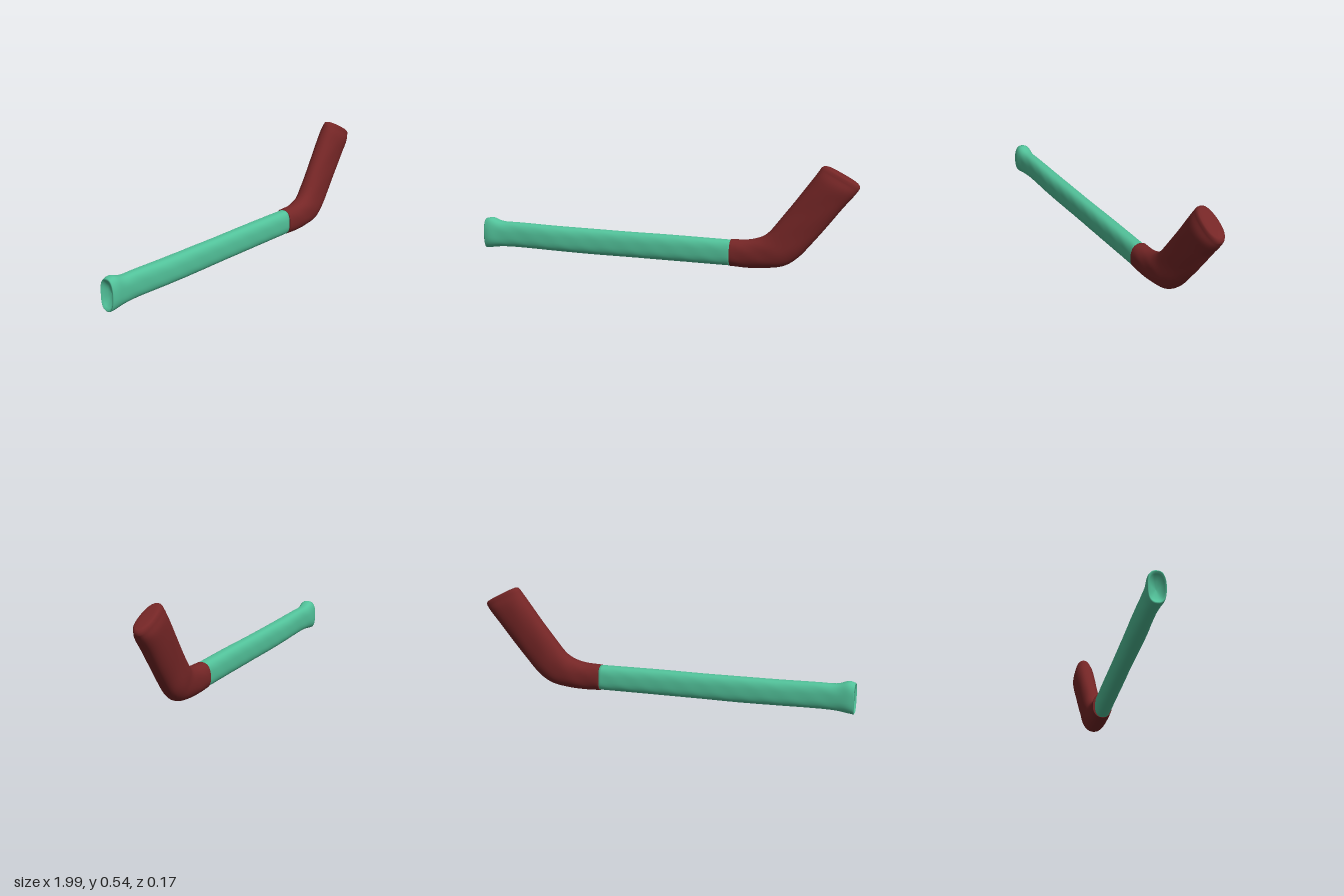
import * as THREE from 'three';

const RING = 40, STEPS = 6;

// Section: [bottomX, bottomY, topX, topY, centreZ, halfDepth]
const SHAFT = [
  [-0.995, 0.01, -0.995, 0.172, 0.042, 0.042],
  [-0.965, 0.014, -0.96, 0.178, 0.042, 0.045],
  [-0.90, 0.022, -0.90, 0.160, 0.040, 0.040],
  [-0.80, 0.023, -0.80, 0.158, 0.037, 0.038],
  [-0.60, 0.018, -0.60, 0.152, 0.033, 0.042],
  [-0.40, 0.013, -0.40, 0.149, 0.028, 0.040],
  [-0.20, 0.012, -0.20, 0.146, 0.024, 0.040],
  [0.00, 0.010, 0.00, 0.145, 0.020, 0.041],
  [0.20, 0.008, 0.20, 0.142, 0.016, 0.042],
  [0.37, 0.006, 0.37, 0.139, 0.012, 0.042],
];
const BLADE = [
  [0.355, 0.004, 0.355, 0.142, 0.010, 0.052],
  [0.45, 0.000, 0.435, 0.145, 0.008, 0.052],
  [0.54, 0.005, 0.485, 0.155, 0.004, 0.055],
  [0.63, 0.022, 0.525, 0.172, 0.000, 0.057],
  [0.70, 0.068, 0.560, 0.203, -0.007, 0.058],
  [0.77, 0.148, 0.610, 0.268, -0.013, 0.056],
  [0.84, 0.236, 0.675, 0.354, -0.020, 0.057],
  [0.91, 0.328, 0.735, 0.437, -0.026, 0.059],
  [0.965, 0.395, 0.775, 0.492, -0.029, 0.058],
  [0.99, 0.430, 0.800, 0.530, -0.032, 0.046],
];

// Lofts rounded sections and closes both ends; caps list [scale, shift along x, shift along y]
function loft(sections, startCap, endCap, power) {
  const curve = f => new THREE.CatmullRomCurve3(sections.map(f), false, 'catmullrom', 0.5);
  const low = curve(s => new THREE.Vector3(s[0], s[1], s[4]));
  const high = curve(s => new THREE.Vector3(s[2], s[3], s[4]));
  const depth = curve(s => new THREE.Vector3(s[5], 0, 0));
  const rings = [];
  const addRing = (t, scale, dx, dy) => {
    const a = low.getPoint(t), b = high.getPoint(t), d = depth.getPoint(t).x;
    const mid = a.clone().add(b).multiplyScalar(0.5);
    const up = b.clone().sub(a).multiplyScalar(0.5);
    rings.push({ mid, up, d, scale, dx, dy });
  };
  startCap.forEach(c => addRing(0, ...c));
  const n = (sections.length - 1) * STEPS;
  for (let i = 0; i <= n; i++) addRing(i / n, 1, 0, 0);
  endCap.forEach(c => addRing(1, ...c));

  const pos = [], index = [];
  const soft = v => Math.sign(v) * Math.pow(Math.abs(v), 2 / power);
  rings.forEach((r, i) => {
    for (let j = 0; j < RING; j++) {
      const ang = j / RING * Math.PI * 2;
      // Faint hand-formed unevenness
      const wave = 1 + 0.018 * Math.sin(r.mid.x * 31 + ang * 2) * Math.sin(r.mid.x * 17 + ang * 3);
      const s = soft(Math.sin(ang)) * r.scale;
      const c = soft(Math.cos(ang)) * r.scale * r.d * wave;
      pos.push(r.mid.x + r.up.x * s + r.dx, r.mid.y + r.up.y * s + r.dy, r.mid.z + c);
      if (i < rings.length - 1) {
        const k = (j + 1) % RING, p = i * RING, q = p + RING;
        index.push(p + j, q + j, p + k, p + k, q + j, q + k);
      }
    }
  });
  const geo = new THREE.BufferGeometry();
  geo.setAttribute('position', new THREE.Float32BufferAttribute(pos, 3));
  geo.setIndex(index);
  geo.computeVertexNormals();
  return geo;
}

export function createModel() {
  const group = new THREE.Group();
  const add = (name, geo, color) => {
    const mesh = new THREE.Mesh(geo, new THREE.MeshStandardMaterial({ color }));
    mesh.name = name;
    group.add(mesh);
  };

  // Shaft with a flared butt and a dished end
  add('shaft', loft(SHAFT,
    [[0.001, 0.03, 0], [0.5, 0.025, 0], [0.82, 0.008, 0], [0.92, -0.003, 0]],
    [[0.001, 0, 0]], 2.6), 0x52c29a);

  // Bent blade with a step at the joint and a rounded tip
  add('blade', loft(BLADE,
    [[0.001, 0, 0], [0.9, 0, 0], [0.98, 0, 0]],
    [[0.95, 0.007, 0.011], [0.82, 0.011, 0.016], [0.5, 0.012, 0.018], [0.001, 0.012, 0.018]],
    2.3), 0x752626);

  return group;
}
